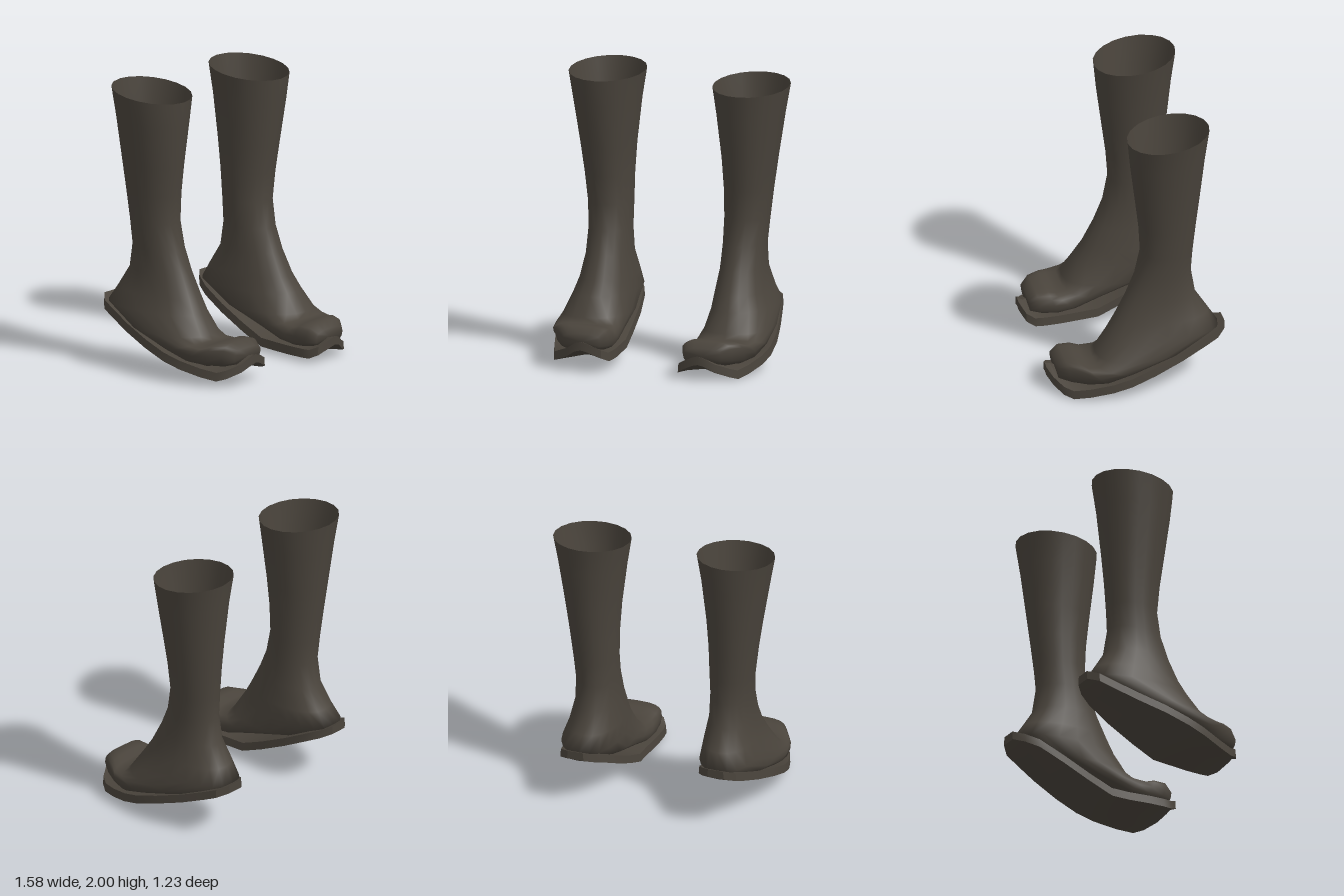
import * as THREE from 'three';
import { toCreasedNormals } from 'three/addons/utils/BufferGeometryUtils.js';

// Skin a stack of equal-length point loops; optionally close either end.
function loft(rings, capStart, capEnd, mirror) {
  const n = rings[0].length, pos = rings.flat(2), idx = [];
  const tri = (a, b, c) => idx.push(a, ...(mirror ? [c, b] : [b, c]));
  for (let i = 0; i < rings.length - 1; i++) {
    for (let j = 0; j < n; j++) {
      const a = i * n + j, b = i * n + (j + 1) % n;
      tri(a, a + n, b);
      tri(b, a + n, b + n);
    }
  }
  const cap = (r, flip) => {
    const c = pos.length / 3, s = r * n;
    for (let k = 0; k < 3; k++) pos.push(rings[r].reduce((t, p) => t + p[k], 0) / n);
    for (let j = 0; j < n; j++) {
      const a = s + j, b = s + (j + 1) % n;
      flip ? tri(c, b, a) : tri(c, a, b);
    }
  };
  if (capStart) cap(0, false);
  if (capEnd) cap(rings.length - 1, true);
  const g = new THREE.BufferGeometry();
  g.setAttribute('position', new THREE.Float32BufferAttribute(pos, 3));
  g.setIndex(idx);
  if (mirror) for (let i = 0; i < pos.length / 3; i++) g.attributes.position.setX(i, -pos[i * 3]);
  g.computeVertexNormals();
  return g;
}

// Shaft and foot: front z, y, back z, y, centre x, half width, squareness
const UPPER = [
  [0.05, 1.88, -0.52, 1.955, 0.522, 0.268, 2],
  [0.033, 1.7, -0.49, 1.74, 0.52, 0.235, 2],
  [-0.005, 1.4, -0.455, 1.42, 0.513, 0.192, 2],
  [-0.03, 1.2, -0.43, 1.2, 0.505, 0.17, 2],
  [-0.043, 1.0, -0.41, 1.0, 0.495, 0.156, 2],
  [-0.005, 0.82, -0.4, 0.83, 0.488, 0.149, 2],
  [0.06, 0.66, -0.43, 0.65, 0.487, 0.155, 2.1],
  [0.14, 0.5, -0.52, 0.51, 0.49, 0.182, 2.2],
  [0.2, 0.4, -0.59, 0.4, 0.502, 0.207, 2.3],
  [0.28, 0.27, -0.35, 0.27, 0.512, 0.228, 2.5],
  [0.3, 0.235, 0.0, 0.16, 0.515, 0.238, 2.7],
  [0.37, 0.235, 0.2, 0.09, 0.5, 0.232, 3],
  [0.42, 0.258, 0.34, 0.07, 0.475, 0.212, 3.2],
  [0.5, 0.258, 0.46, 0.08, 0.452, 0.182, 3.2],
  [0.555, 0.215, 0.54, 0.1, 0.44, 0.14, 2.8],
];

// Sole: z, inner x, outer x, then bottom y at inner edge, outer edge and middle
const SOLE = [
  [0.61, 0.38, 0.47, 0.1, 0.1, 0.11],
  [0.575, 0.285, 0.54, 0.055, 0.055, 0.1],
  [0.52, 0.25, 0.63, 0.03, 0.02, 0.085],
  [0.46, 0.245, 0.67, 0.03, 0.0, 0.06],
  [0.35, 0.25, 0.71, 0.03, 0.02, 0.03],
  [0.2, 0.27, 0.755, 0.03, 0.06, 0.03],
  [0.07, 0.28, 0.77, 0.035, 0.1, 0.05],
  [-0.1, 0.29, 0.755, 0.11, 0.16, 0.11],
  [-0.3, 0.305, 0.71, 0.21, 0.23, 0.2],
  [-0.47, 0.335, 0.665, 0.3, 0.3, 0.29],
  [-0.56, 0.385, 0.64, 0.34, 0.34, 0.33],
  [-0.62, 0.45, 0.57, 0.37, 0.37, 0.37],
];
const THICK = 0.06, SIDES = 20;

function upperRing([zf, yf, zb, yb, cx, w, e]) {
  return Array.from({ length: SIDES }, (_, j) => {
    const a = (j / SIDES) * Math.PI * 2, s = Math.sin(a), c = Math.cos(a);
    const round = (v) => Math.sign(v) * Math.abs(v) ** (2 / e);
    const t = (1 - round(c)) / 2;
    return [cx + w * round(s), yf + (yb - yf) * t, zf + (zb - zf) * t];
  });
}

function soleRing([z, xi, xo, yi, yo, ym]) {
  return [
    [(xi + xo) / 2, ym, z],
    [xo, yo, z],
    [xo - 0.005, yo + THICK, z],
    [(xi + xo) / 2, Math.max(ym, (yi + yo) / 2) + THICK, z],
    [xi + 0.005, yi + THICK, z],
    [xi, yi, z],
  ];
}

export function createModel() {
  const leather = new THREE.MeshStandardMaterial({ color: 0x4a443c, side: THREE.DoubleSide });
  leather.name = 'dark brown leather';
  const model = new THREE.Group();
  model.name = 'bootPair';

  for (const mirror of [false, true]) {
    const boot = new THREE.Group();
    boot.name = mirror ? 'rightBoot' : 'leftBoot';

    // Hollow shaft flowing into the foot and toe
    const upper = new THREE.Mesh(loft(UPPER.map(upperRing), false, true, mirror), leather);
    upper.name = 'upper';

    // Curved sole with a crisp welt edge
    const sole = new THREE.Mesh(toCreasedNormals(loft(SOLE.map(soleRing), true, true, mirror), 0.6), leather);
    sole.name = 'sole';

    boot.add(upper, sole);
    boot.position.y = mirror ? 0.045 : 0; // the right foot is lifted slightly
    model.add(boot);
  }
  return model;
}
